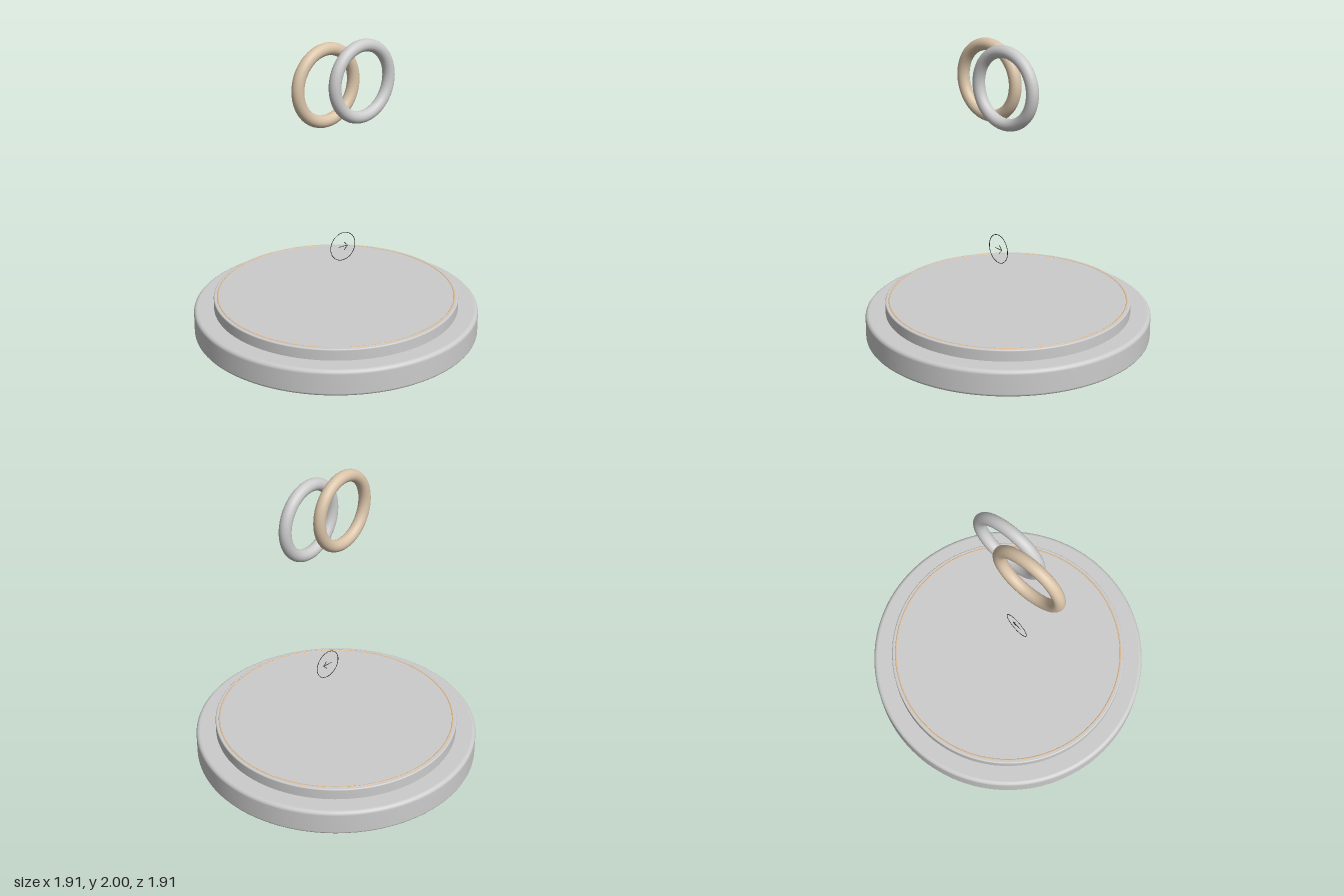
import * as THREE from 'three';

const grey = new THREE.MeshStandardMaterial({ color: 0xcccccc });
const beige = new THREE.MeshStandardMaterial({ color: 0xd9c3a8 });
const gold = new THREE.MeshStandardMaterial({ color: 0xe0b98c });
const dark = new THREE.MeshStandardMaterial({ color: 0x222222 });

// Round slab with a quarter-round edge; flat faces and walls keep crisp normals
function disc(name, radius, y0, y1, topRound, bottomRound) {
  const group = new THREE.Group();
  group.name = name;
  const arc = (cy, r, from, to) => Array.from({ length: 7 }, (_, i) => {
    const a = from + (to - from) * i / 6;
    return new THREE.Vector2(radius - r + r * Math.cos(a), cy + r * Math.sin(a));
  });
  const profile = [
    ...arc(y0 + bottomRound, bottomRound, -Math.PI / 2, 0),
    ...arc(y1 - topRound, topRound, 0, Math.PI / 2),
  ];
  const rim = new THREE.Mesh(new THREE.LatheGeometry(profile, 128), grey);
  rim.name = name + 'Rim';
  group.add(rim);
  for (const [y, r, turn, part] of [[y1, radius - topRound, -1, 'Top'], [y0, radius - bottomRound, 1, 'Bottom']]) {
    const face = new THREE.Mesh(new THREE.CircleGeometry(r, 128), grey);
    face.rotation.x = turn * Math.PI / 2;
    face.position.y = y;
    face.name = name + part;
    group.add(face);
  }
  return group;
}

function ring(name, radius, tube, material, x, y, z, sides = 24) {
  const mesh = new THREE.Mesh(new THREE.TorusGeometry(radius, tube, sides, 96), material);
  mesh.position.set(x, y, z);
  mesh.name = name;
  return mesh;
}

// Thin straight rod between two points of the arrow's plane
function rod(name, x0, y0, x1, y1, r) {
  const path = new THREE.LineCurve3(new THREE.Vector3(x0, y0, 0), new THREE.Vector3(x1, y1, 0));
  const mesh = new THREE.Mesh(new THREE.TubeGeometry(path, 1, r, 8), dark);
  mesh.name = name;
  return mesh;
}

export function createModel() {
  const model = new THREE.Group();
  model.name = 'ringDisplay';

  // Stepped round pedestal
  model.add(disc('base', 0.953, 0, 0.175, 0.025, 0.02));
  model.add(disc('plate', 0.819, 0.17, 0.251, 0.008, 0.004));

  // Fine trim let into the plate's top
  const trim = ring('trim', 0.793, 0.006, gold, 0, 0.248, 0, 8);
  trim.rotation.x = Math.PI / 2;
  model.add(trim);

  // Pair of overlapping rings floating above
  const left = ring('greyRing', 0.232, 0.04, grey, 0.12, 1.728, 0.117);
  const right = ring('beigeRing', 0.232, 0.04, beige, -0.118, 1.728, 0.062);
  left.rotation.y = right.rotation.y = 0.138;
  model.add(left, right);

  // Thin circle with an arrow inside
  const marker = new THREE.Group();
  marker.name = 'arrowMarker';
  marker.position.set(0, 0.615, 0.08);
  marker.add(ring('markerCircle', 0.097, 0.002, dark, 0, 0, 0, 8));
  marker.add(rod('arrowShaft', -0.037, 0, 0.037, 0, 0.002));
  for (const s of [1, -1]) marker.add(rod('arrowHead', 0.01, s * 0.028, 0.037, 0, 0.002));
  model.add(marker);

  return model;
}
